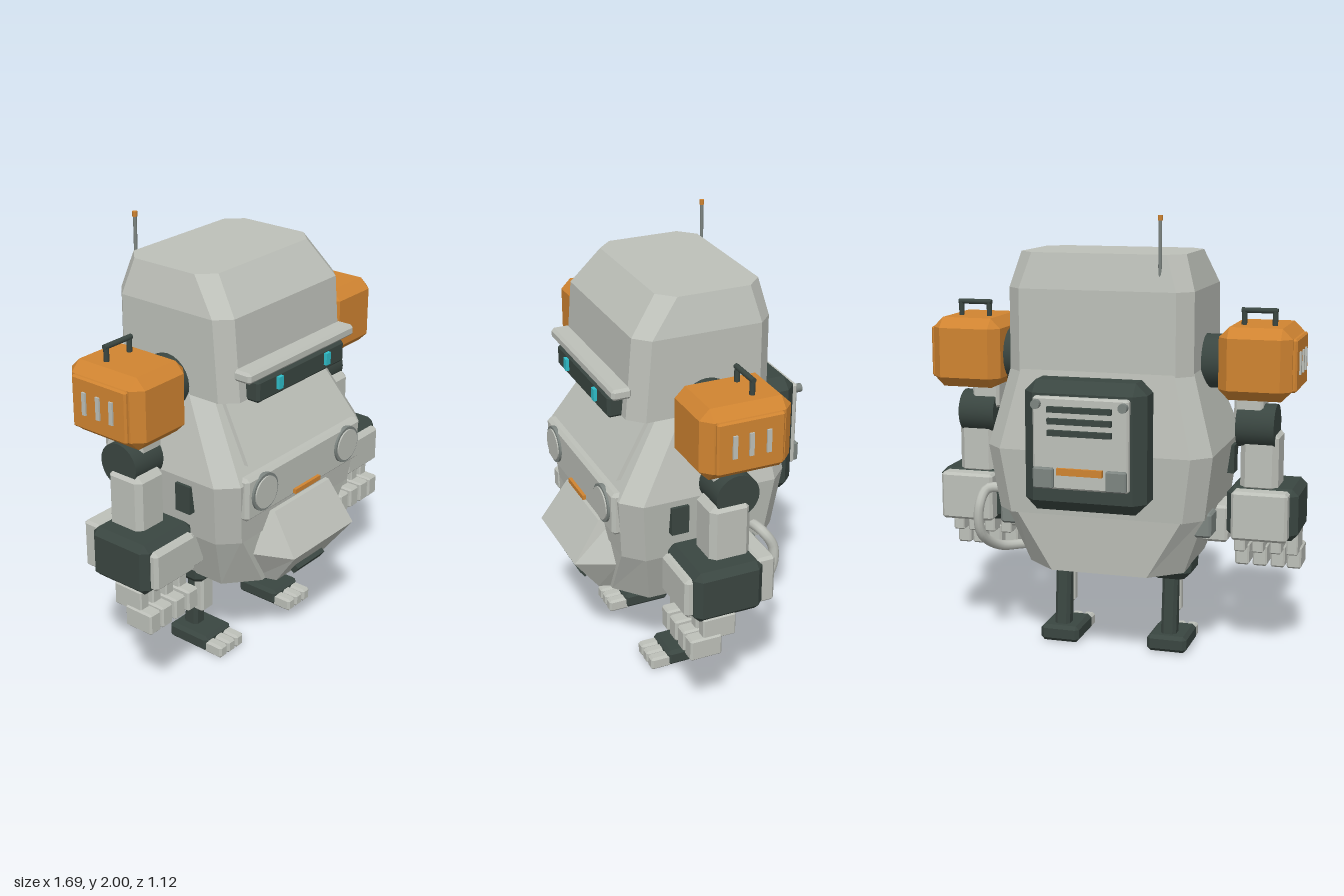
import * as THREE from 'three';
import { ConvexGeometry } from 'three/addons/geometries/ConvexGeometry.js';

const paint = (name, color) => {
  const m = new THREE.MeshStandardMaterial({ color });
  m.name = name;
  return m;
};

// Loft through rings of [x, y, z] points, each running anticlockwise seen from above
function loft(rings) {
  const pos = [], n = rings[0].length, last = rings.length - 1;
  const tri = (a, b, c) => pos.push(...a, ...b, ...c);
  for (let r = 0; r < last; r++) {
    for (let i = 0; i < n; i++) {
      const j = (i + 1) % n, lo = rings[r], hi = rings[r + 1];
      tri(lo[i], lo[j], hi[j]);
      tri(lo[i], hi[j], hi[i]);
    }
  }
  for (let i = 1; i < n - 1; i++) {
    tri(rings[last][0], rings[last][i], rings[last][i + 1]);
    tri(rings[0][0], rings[0][i + 1], rings[0][i]);
  }
  const g = new THREE.BufferGeometry();
  g.setAttribute('position', new THREE.Float32BufferAttribute(pos, 3));
  g.computeVertexNormals();
  return g;
}

// Rectangle with cut corners: height, half width, front z, back z, corner cuts
const octagon = (y, hx, zf, zb, cx, cz = cx) => [
  [-hx + cx, y, zf], [hx - cx, y, zf], [hx, y, zf - cz], [hx, y, zb + cz],
  [hx - cx, y, zb], [-hx + cx, y, zb], [-hx, y, zb + cz], [-hx, y, zf - cz]];

const quad = (y, hx, zf, zb, backHx = hx) => [
  [-hx, y, zf], [hx, y, zf], [backHx, y, zb], [-backHx, y, zb]];

// Box with all edges cut at 45 degrees
function cutBox(w, h, d, c) {
  const pts = [];
  for (const sx of [-1, 1]) for (const sy of [-1, 1]) for (const sz of [-1, 1]) {
    const x = w / 2, y = h / 2, z = d / 2;
    pts.push(new THREE.Vector3(sx * x, sy * (y - c), sz * (z - c)),
      new THREE.Vector3(sx * (x - c), sy * y, sz * (z - c)),
      new THREE.Vector3(sx * (x - c), sy * (y - c), sz * z));
  }
  return new ConvexGeometry(pts);
}

export function createModel() {
  const light = paint('light grey', 0xbdc0b9), grey = paint('steel grey', 0x7d8581);
  const dark = paint('dark green grey', 0x3a4641), orange = paint('orange', 0xd08431);
  const cyan = paint('cyan', 0x2fbfcb);
  const model = new THREE.Group();
  model.name = 'robot';

  const add = (parent, name, geometry, material) => {
    const m = new THREE.Mesh(geometry, material);
    m.name = name;
    parent.add(m);
    return m;
  };
  // Box given by its extents, with an optional edge cut
  const block = (parent, name, mat, x0, x1, y0, y1, z0, z1, cut = 0) => {
    const s = [x1 - x0, y1 - y0, z1 - z0];
    const m = add(parent, name, cut ? cutBox(...s, cut) : new THREE.BoxGeometry(...s), mat);
    m.position.set((x0 + x1) / 2, (y0 + y1) / 2, (z0 + z1) / 2);
    return m;
  };
  const rod = (parent, name, mat, r, len, x, y, z, axis = 'y', sides = 20) => {
    const g = new THREE.CylinderGeometry(r, r, len, sides);
    if (axis === 'x') g.rotateZ(Math.PI / 2);
    if (axis === 'z') g.rotateX(Math.PI / 2);
    const m = add(parent, name, g, mat);
    m.position.set(x, y, z);
    return m;
  };

  // Head and body shells
  add(model, 'head', loft([
    octagon(1.32, 0.415, 0.355, -0.3, 0.065),
    octagon(1.68, 0.415, 0.325, -0.3, 0.065),
    octagon(1.835, 0.37, 0.2, -0.27, 0.07)]), light);
  add(model, 'torso', loft([
    octagon(0.69, 0.47, 0.4, -0.32, 0.08),
    octagon(0.98, 0.51, 0.425, -0.35, 0.08),
    octagon(1.33, 0.415, 0.2, -0.3, 0.07)]), light);
  add(model, 'lowerBody', loft([
    octagon(0.42, 0.36, 0.38, -0.27, 0.14, 0.12),
    octagon(0.7, 0.465, 0.395, -0.285, 0.08)]), light);

  // Face: brow, visor and eyes
  block(model, 'brow', light, -0.37, 0.37, 1.42, 1.47, 0.33, 0.42, 0.012);
  block(model, 'visor', dark, -0.305, 0.305, 1.315, 1.415, 0.32, 0.415, 0.012);
  for (const s of [-1, 1]) block(model, 'eye', cyan, s * 0.168 - 0.015, s * 0.168 + 0.015, 1.345, 1.4, 0.4, 0.43);

  // Chest plate, lamp panel and jaw
  add(model, 'chestPlate', loft([quad(1.045, 0.355, 0.405, 0.33), quad(1.32, 0.315, 0.228, 0.15)]), light);
  block(model, 'lampPanel', light, -0.41, 0.41, 0.81, 1.01, 0.35, 0.445, 0.015);
  for (const s of [-1, 1]) {
    rod(model, 'lampRim', grey, 0.085, 0.04, s * 0.297, 0.92, 0.435, 'z', 28);
    rod(model, 'lampLens', light, 0.073, 0.04, s * 0.297, 0.92, 0.441, 'z', 28);
  }
  block(model, 'chestStrip', orange, -0.09, 0.09, 0.826, 0.847, 0.43, 0.46);
  add(model, 'jaw', loft([
    quad(0.42, 0.18, 0.43, 0.34, 0.21),
    quad(0.59, 0.22, 0.555, 0.38, 0.3),
    quad(0.775, 0.2, 0.43, 0.36, 0.215)]), light);
  const vent = block(model, 'jawVent', dark, -0.1, 0.1, 0.435, 0.475, 0.455, 0.48);
  vent.rotation.x = 0.63;

  // Backpack with its panel
  const pack = new THREE.Group();
  pack.name = 'backpack';
  model.add(pack);
  block(pack, 'packShell', dark, -0.27, 0.27, 0.75, 1.315, -0.505, -0.31, 0.05);
  block(pack, 'packPanel', light, -0.21, 0.21, 0.86, 1.255, -0.535, -0.49, 0.008);
  for (const y of [1.205, 1.155, 1.105]) block(pack, 'packSlat', dark, -0.14, 0.14, y - 0.012, y + 0.012, -0.555, -0.53);
  block(pack, 'packStrip', orange, -0.1, 0.1, 0.925, 0.955, -0.55, -0.53);
  for (const s of [-1, 1]) {
    block(pack, 'packLatch', grey, s * 0.16 - 0.045, s * 0.16 + 0.045, 0.865, 0.955, -0.555, -0.53, 0.006);
    rod(pack, 'packKnob', grey, 0.02, 0.03, s * 0.19, 1.225, -0.545, 'z', 12);
  }

  // Antenna
  rod(model, 'antenna', grey, 0.008, 0.27, -0.275, 1.845, -0.28, 'y', 8);
  rod(model, 'antennaTip', orange, 0.011, 0.022, -0.275, 1.989, -0.28, 'y', 8);

  // Side hose
  const hosePath = new THREE.CatmullRomCurve3([
    [0.44, 0.76, -0.18], [0.55, 0.755, -0.2], [0.575, 0.68, -0.24], [0.575, 0.55, -0.22],
    [0.53, 0.465, -0.1], [0.45, 0.45, 0], [0.33, 0.455, 0.05]].map(p => new THREE.Vector3(...p)));
  add(model, 'hose', new THREE.TubeGeometry(hosePath, 36, 0.023, 10), light);

  for (const s of [-1, 1]) {
    const side = s > 0 ? 'left' : 'right';
    // Mirrored block: extents are given for the +x side
    const part = (g, name, mat, x0, x1, ...rest) =>
      s > 0 ? block(g, name, mat, x0, x1, ...rest) : block(g, name, mat, -x1, -x0, ...rest);

    // Body side details
    part(model, 'sideVent', dark, 0.46, 0.52, 0.82, 0.95, 0.14, 0.22);
    part(model, 'hipBox', light, 0.4, 0.522, 0.53, 0.7, 0.0, 0.2, 0.012);
    part(model, 'sideBox', grey, 0.4, 0.49, 0.6, 0.71, -0.2, -0.08, 0.01);

    const arm = new THREE.Group();
    arm.name = side + 'Arm';
    model.add(arm);
    // Shoulder pod with handle and slits
    rod(arm, 'shoulderJoint', dark, 0.12, 0.16, s * 0.44, 1.355, 0.015, 'x', 24);
    part(arm, 'shoulderPod', orange, 0.5, 0.82, 1.21, 1.525, -0.185, 0.22, 0.045);
    part(arm, 'podPanel', orange, 0.8, 0.838, 1.25, 1.48, -0.13, 0.168, 0.008);
    for (const z of [0.093, 0.02, -0.057]) part(arm, 'podSlit', light, 0.825, 0.846, 1.32, 1.42, z - 0.01, z + 0.01);
    for (const x of [0.59, 0.725]) rod(arm, 'handlePost', dark, 0.012, 0.08, s * x, 1.55, -0.035, 'y', 10);
    rod(arm, 'handleBar', dark, 0.012, 0.158, s * 0.6575, 1.588, -0.035, 'x', 10);
    // Upper arm, elbow and forearm
    part(arm, 'upperArm', light, 0.55, 0.68, 1.1, 1.24, -0.04, 0.1, 0.012);
    rod(arm, 'elbow', dark, 0.098, 0.17, s * 0.65, 1.075, 0.02, 'x', 24);
    part(arm, 'forearm', light, 0.58, 0.75, 0.78, 1.05, -0.04, 0.145, 0.025);
    part(arm, 'gauntlet', dark, 0.525, 0.845, 0.57, 0.805, -0.06, 0.255, 0.03);
    part(arm, 'gauntletFrontPlate', light, 0.56, 0.81, 0.595, 0.775, 0.23, 0.288, 0.015);
    part(arm, 'gauntletBackPlate', light, 0.56, 0.81, 0.58, 0.8, -0.125, -0.04, 0.012);
    // Fingers
    for (const x of [0.565, 0.648, 0.73, 0.805]) {
      part(arm, 'knuckle', light, x - 0.026, x + 0.026, 0.475, 0.58, 0.065, 0.215, 0.006);
      part(arm, 'fingertip', light, x - 0.033, x + 0.033, 0.395, 0.495, 0.13, 0.275, 0.008);
    }

    const leg = new THREE.Group();
    leg.name = side + 'Leg';
    model.add(leg);
    // Hip, shin and piston
    const hip = add(leg, 'hip', loft([
      octagon(0.345, 0.07, 0.1, -0.02, 0.02), octagon(0.385, 0.108, 0.14, -0.06, 0.03),
      octagon(0.43, 0.108, 0.14, -0.06, 0.03)]), dark);
    hip.position.x = s * 0.257;
    const shin = add(leg, 'shin', loft([
      octagon(0.06, 0.036, 0.05, -0.03, 0.015), octagon(0.36, 0.036, 0.06, 0.0, 0.015)]), dark);
    shin.position.x = s * 0.257;
    part(leg, 'piston', light, 0.215, 0.3, 0.17, 0.36, 0.042, 0.098, 0.012);
    // Foot and toes
    part(leg, 'foot', dark, 0.165, 0.35, 0.005, 0.082, -0.065, 0.16, 0.016);
    for (const x of [0.2, 0.2575, 0.315]) part(leg, 'toe', light, x - 0.026, x + 0.026, 0, 0.062, 0.14, 0.24, 0.01);
  }
  return model;
}
